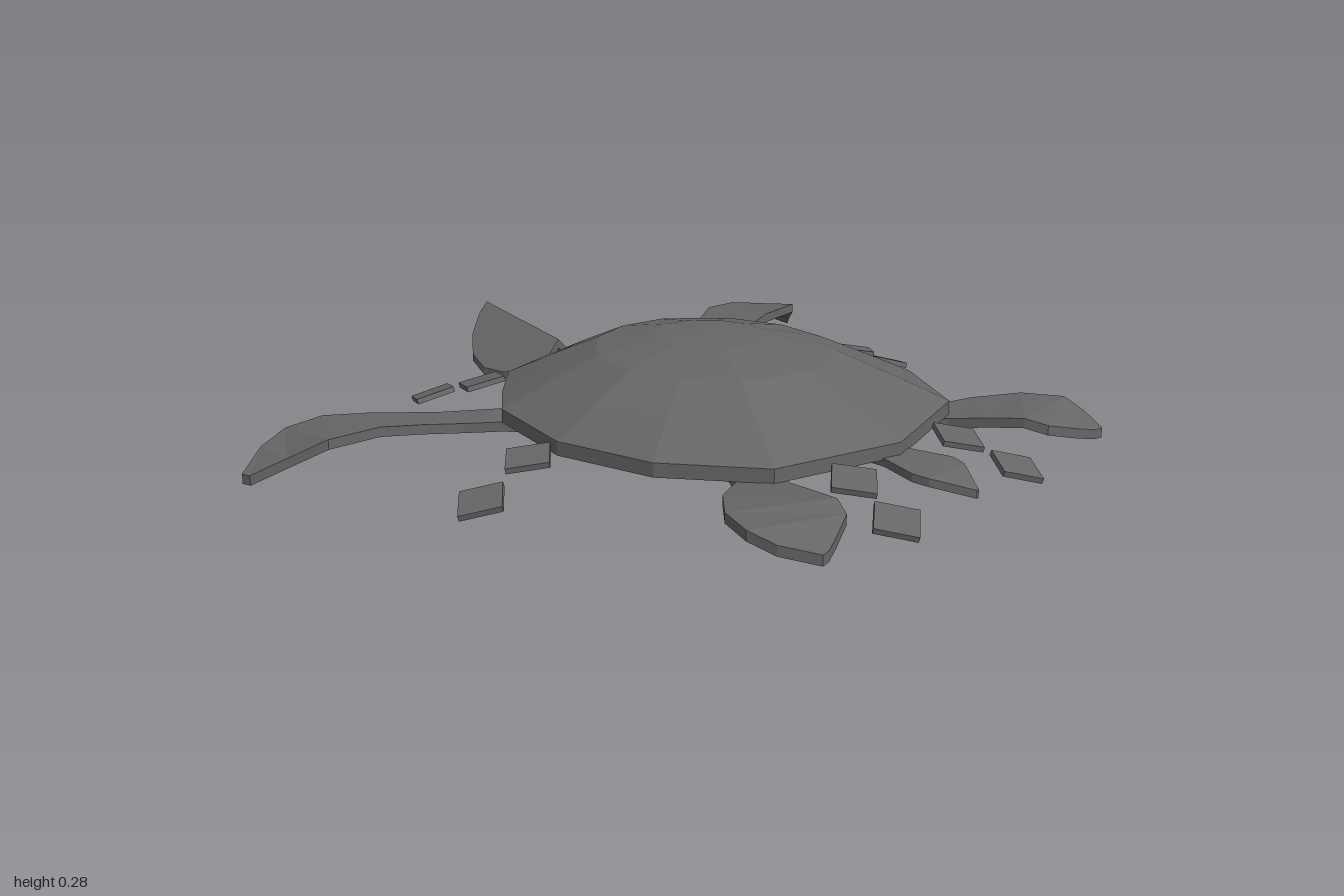
import * as THREE from 'three';

// Skins a list of equal-length rings of [x, y, z] points, faceted, with optional end caps
function loft(rings, caps) {
  const pos = [];
  const n = rings[0].length, last = rings.length - 1;
  const quad = (a, b, c, d) => pos.push(...a, ...b, ...c, ...a, ...c, ...d);
  for (let i = 0; i < last; i++) {
    for (let j = 0; j < n; j++) {
      const k = (j + 1) % n;
      quad(rings[i][j], rings[i + 1][j], rings[i + 1][k], rings[i][k]);
    }
  }
  if (caps) {
    const s = rings[0], e = rings[last];
    for (let i = 0; i < n / 2 - 1; i++) {
      quad(s[i], s[i + 1], s[n - 2 - i], s[n - 1 - i]);
      quad(e[n - 1 - i], e[n - 2 - i], e[i + 1], e[i]);
    }
  }
  const g = new THREE.BufferGeometry();
  g.setAttribute('position', new THREE.Float32BufferAttribute(pos, 3));
  g.computeVertexNormals();
  return g;
}

// Bent plate: each station is [right x, z, top y, left x, z, top y]; side = -1 mirrors it in z
function plate(stations, thick, side = 1) {
  const rings = stations.map(([rx, rz, ry, lx, lz, ly]) => {
    const ring = [
      [rx, ry, rz * side], [lx, ly, lz * side],
      [lx, ly - thick, lz * side], [rx, ry - thick, rz * side],
    ];
    return side < 0 ? ring.reverse() : ring;
  });
  return loft(rings, true);
}

export function createModel() {
  const model = new THREE.Group();
  const grey = new THREE.MeshStandardMaterial({ color: 0x666666 });
  grey.name = 'dark grey';
  const add = (name, geometry) => {
    const mesh = new THREE.Mesh(geometry, grey);
    mesh.name = name;
    model.add(mesh);
    return mesh;
  };

  // Hollow domed shell: one outline scaled along a profile, inside apex to outside apex
  const half = [[0.6, 0], [0.5, 0.34], [0.27, 0.49], [0, 0.53], [-0.28, 0.45], [-0.39, 0.35], [-0.51, 0.22], [-0.56, 0]];
  const outline = [...half, ...half.slice(1, -1).reverse().map(([x, z]) => [x, -z])];
  const profile = [
    [0, 0.24], [0.25, 0.232], [0.52, 0.2], [0.76, 0.14], [0.97, 0.085],
    [1, 0.085], [1, 0.12], [0.78, 0.178], [0.54, 0.238], [0.25, 0.272], [0, 0.281],
  ];
  add('shell', loft(profile.map(([s, y]) => outline.map(([x, z]) => [x * s, y, z * s])), false));

  // Head: folded disc with a sloping ridge
  const headStations = [
    [-0.84, 0.03, 0.212], [-0.82, 0.075, 0.208], [-0.78, 0.11, 0.2], [-0.72, 0.123, 0.188],
    [-0.65, 0.112, 0.175], [-0.6, 0.088, 0.165], [-0.55, 0.05, 0.155],
  ];
  add('head', loft(headStations.map(([x, w, y]) => {
    const edge = y - w * 0.97;
    return [[x, edge, w], [x, y, 0], [x, edge, -w], [x, edge - 0.02, -w], [x, y - 0.025, 0], [x, edge - 0.02, w]];
  }), true));

  // Flippers, mirrored front to back
  const frontFlipper = [
    [-0.17, -0.30, 0.07, -0.27, -0.22, 0.07],
    [-0.31, -0.43, 0.075, -0.39, -0.35, 0.075],
    [-0.37, -0.50, 0.075, -0.50, -0.47, 0.07],
    [-0.40, -0.60, 0.09, -0.59, -0.62, 0.085],
    [-0.415, -0.72, 0.11, -0.645, -0.72, 0.09],
    [-0.43, -0.86, 0.11, -0.645, -0.83, 0.085],
    [-0.50, -0.93, 0.065, -0.62, -0.92, 0.065],
    [-0.56, -0.995, 0.025, -0.585, -1, 0.025],
  ];
  const rearFlipper = [
    [0.42, -0.24, 0.08, 0.34, -0.32, 0.08],
    [0.52, -0.31, 0.085, 0.43, -0.39, 0.085],
    [0.62, -0.345, 0.1, 0.47, -0.48, 0.09],
    [0.70, -0.37, 0.11, 0.56, -0.575, 0.1],
    [0.75, -0.40, 0.095, 0.66, -0.622, 0.1],
    [0.785, -0.48, 0.075, 0.73, -0.605, 0.08],
    [0.805, -0.53, 0.065, 0.81, -0.555, 0.065],
  ];
  for (const side of [1, -1]) {
    add('frontFlipper', plate(frontFlipper, 0.025, side));
    add('rearFlipper', plate(rearFlipper, 0.025, side));
  }

  // Pointed tail
  const tail = [[0.45, 0.04, 0.09], [0.59, 0.05, 0.09], [0.69, 0.08, 0.085], [0.73, 0.07, 0.08], [0.815, 0.004, 0.055]];
  add('tail', plate(tail.map(([x, w, y]) => [x, w, y, x, -w, y]), 0.02));

  // Loose square tiles around the shell, each sloping down outwards: x, y, z, edge angle, tilt
  const tiles = [
    [-0.005, 0.035, -0.762, 45, 0.32], [-0.01, 0.098, -0.612, 45, 0.2],
    [-0.72, 0.035, -0.305, -29, 0.32], [-0.58, 0.085, -0.253, -27, 0.25],
    [0.765, 0.035, -0.24, 37, 0.32], [0.62, 0.085, -0.205, 39, 0.25],
  ];
  for (const side of [1, -1]) {
    for (const [x, y, z, edge, tilt] of tiles) {
      const angle = Math.atan2(z * side, x);
      const spin = THREE.MathUtils.degToRad(edge * side) - angle;
      const tile = new THREE.BoxGeometry(0.103, 0.014, 0.103);
      tile.rotateY(-spin).rotateZ(-tilt).rotateY(-angle).translate(x, y, z * side);
      add('tile', tile);
    }
  }
  return model;
}
